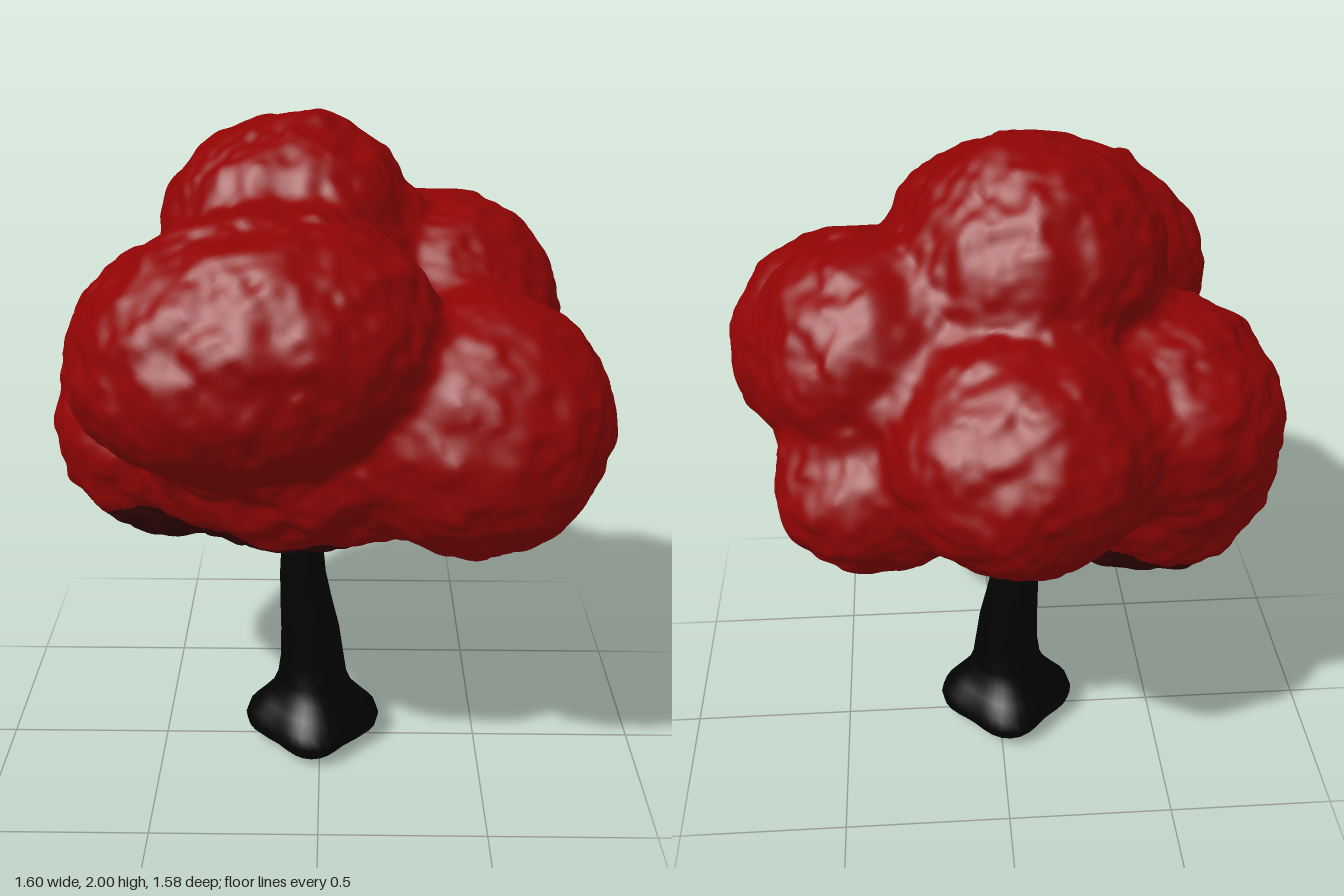
import * as THREE from 'three';
import { mergeVertices } from 'three/addons/utils/BufferGeometryUtils.js';

const material = (name, color) => {
  const m = new THREE.MeshStandardMaterial({ color });
  m.name = name;
  return m;
};

// Drops seams so that the recomputed normals are smooth
function weld(geometry) {
  geometry.deleteAttribute('uv');
  geometry.deleteAttribute('normal');
  return mergeVertices(geometry, 1e-4);
}

// Seeded value noise in the range -1 to 1
function hash(i, j, k) {
  const s = Math.sin(i * 127.1 + j * 311.7 + k * 74.7) * 43758.5453;
  return 2 * (s - Math.floor(s)) - 1;
}
function noise(x, y, z) {
  const cell = [x, y, z].map(Math.floor);
  const f = [x, y, z].map((v, a) => THREE.MathUtils.smoothstep(v - cell[a], 0, 1));
  let sum = 0;
  for (let c = 0; c < 8; c++) {
    const d = [c & 1, (c >> 1) & 1, c >> 2];
    const w = d.reduce((acc, bit, a) => acc * (bit ? f[a] : 1 - f[a]), 1);
    sum += w * hash(cell[0] + d[0], cell[1] + d[1], cell[2] + d[2]);
  }
  return sum;
}
const bump = (x, y, z) =>
  0.016 * noise(12 * x, 12 * y, 12 * z) + 0.007 * noise(27 * x, 27 * y, 27 * z);

// Foliage lobes: centre, radii, tilt about z
const LOBES = [
  [[-0.02, 1.15, 0.04], [0.56, 0.355, 0.5], 0.06], // core
  [[-0.08, 1.64, -0.05], [0.365, 0.355, 0.36], 0], // top
  [[-0.17, 1.48, 0.39], [0.485, 0.345, 0.395], 0.2], // front
  [[0.42, 1.23, 0.3], [0.365, 0.365, 0.35], 0], // front left
  [[0.34, 1.43, -0.11], [0.345, 0.335, 0.35], 0], // upper left
  [[0.35, 1.13, -0.28], [0.28, 0.25, 0.28], 0], // lower left
  [[-0.03, 1.3, -0.42], [0.36, 0.33, 0.365], 0], // back
  [[-0.42, 1.07, -0.1], [0.375, 0.335, 0.37], 0], // lower right
  [[-0.42, 1.27, -0.2], [0.34, 0.32, 0.35], 0], // upper right
];

// Approximate distance from a point to one lobe
function lobeDistance(p, [c, r, tilt]) {
  const dx = p.x - c[0], dy = p.y - c[1], dz = p.z - c[2];
  const cos = Math.cos(tilt), sin = Math.sin(tilt);
  const x = (dx * cos + dy * sin) / r[0], y = (dy * cos - dx * sin) / r[1], z = dz / r[2];
  const k = Math.hypot(x, y, z);
  return k * (k - 1) / Math.max(Math.hypot(x / r[0], y / r[1], z / r[2]), 1e-6);
}

// Distance to all lobes, softly blended in the valleys
function canopyDistance(p) {
  const blend = 0.07;
  return LOBES.reduce((d, lobe) => {
    const e = lobeDistance(p, lobe);
    const h = Math.max(blend - Math.abs(d - e), 0) / blend;
    return Math.min(d, e) - h * h * blend / 4;
  }, 10);
}

// Dome around the trunk top inside which the foliage is in the dark colour
const inHollow = (p) =>
  ((p.x + 0.13) / 0.6) ** 2 + ((p.y - 0.7) / 0.37) ** 2 + ((p.z + 0.02) / 0.56) ** 2 < 1;

// A fine sphere shrunk onto the lobes, its faces grouped by colour
function canopyGeometry() {
  const g = weld(new THREE.IcosahedronGeometry(1, 64));
  const p = g.attributes.position;
  const centre = new THREE.Vector3(-0.05, 1.28, 0);
  const dir = new THREE.Vector3(), v = new THREE.Vector3();
  for (let i = 0; i < p.count; i++) {
    dir.fromBufferAttribute(p, i).normalize();
    let t = 1.2;
    for (let step = 0; step < 50; step++) {
      v.copy(centre).addScaledVector(dir, t);
      t -= 0.7 * canopyDistance(v);
    }
    t += bump(v.x, v.y, v.z);
    v.copy(centre).addScaledVector(dir, t);
    p.setXYZ(i, v.x, v.y, v.z);
  }
  g.computeVertexNormals();

  const outer = [], under = [];
  const index = g.index.array;
  const corner = new THREE.Vector3();
  for (let i = 0; i < index.length; i += 3) {
    const t = [index[i], index[i + 1], index[i + 2]];
    v.set(0, 0, 0);
    for (const k of t) v.add(corner.fromBufferAttribute(p, k));
    (inHollow(v.divideScalar(3)) ? under : outer).push(...t);
  }
  g.setIndex([...outer, ...under]);
  g.addGroup(0, outer.length, 0);
  g.addGroup(outer.length, under.length, 1);
  return g;
}

// Leaning trunk with a bulging, four-rooted foot
function trunkGeometry() {
  const profile = [
    [0, 0], [0.12, 0.004], [0.175, 0.02], [0.207, 0.05], [0.215, 0.08], [0.203, 0.115],
    [0.165, 0.15], [0.13, 0.185], [0.11, 0.23], [0.1, 0.3], [0.092, 0.4],
    [0.081, 0.5], [0.071, 0.6], [0.064, 0.7], [0.06, 0.8], [0.058, 1.0],
  ].map(([r, y]) => new THREE.Vector2(r, y));
  const g = weld(new THREE.LatheGeometry(profile, 40));
  const p = g.attributes.position;
  for (let i = 0; i < p.count; i++) {
    const x = p.getX(i), y = p.getY(i), z = p.getZ(i);
    const root = 0.09 * (1 - THREE.MathUtils.smoothstep(y, 0.1, 0.25));
    const s = 1 + root * (Math.cos(4 * Math.atan2(z, x)) - 1);
    const lean = -0.03 * THREE.MathUtils.smoothstep(y, 0.3, 0.65);
    p.setXYZ(i, x * s - 0.025 + lean, y, z * s - 0.005);
  }
  g.computeVertexNormals();
  return g;
}

export function createModel() {
  const tree = new THREE.Group();
  tree.name = 'tree';
  const bark = material('black bark', 0x020202);
  const leaves = [material('red foliage', 0x900404), material('dark underside foliage', 0x380303)];

  const trunk = new THREE.Mesh(trunkGeometry(), bark);
  trunk.name = 'trunk';
  const canopy = new THREE.Mesh(canopyGeometry(), leaves);
  canopy.name = 'canopy';
  tree.add(trunk, canopy);
  return tree;
}
